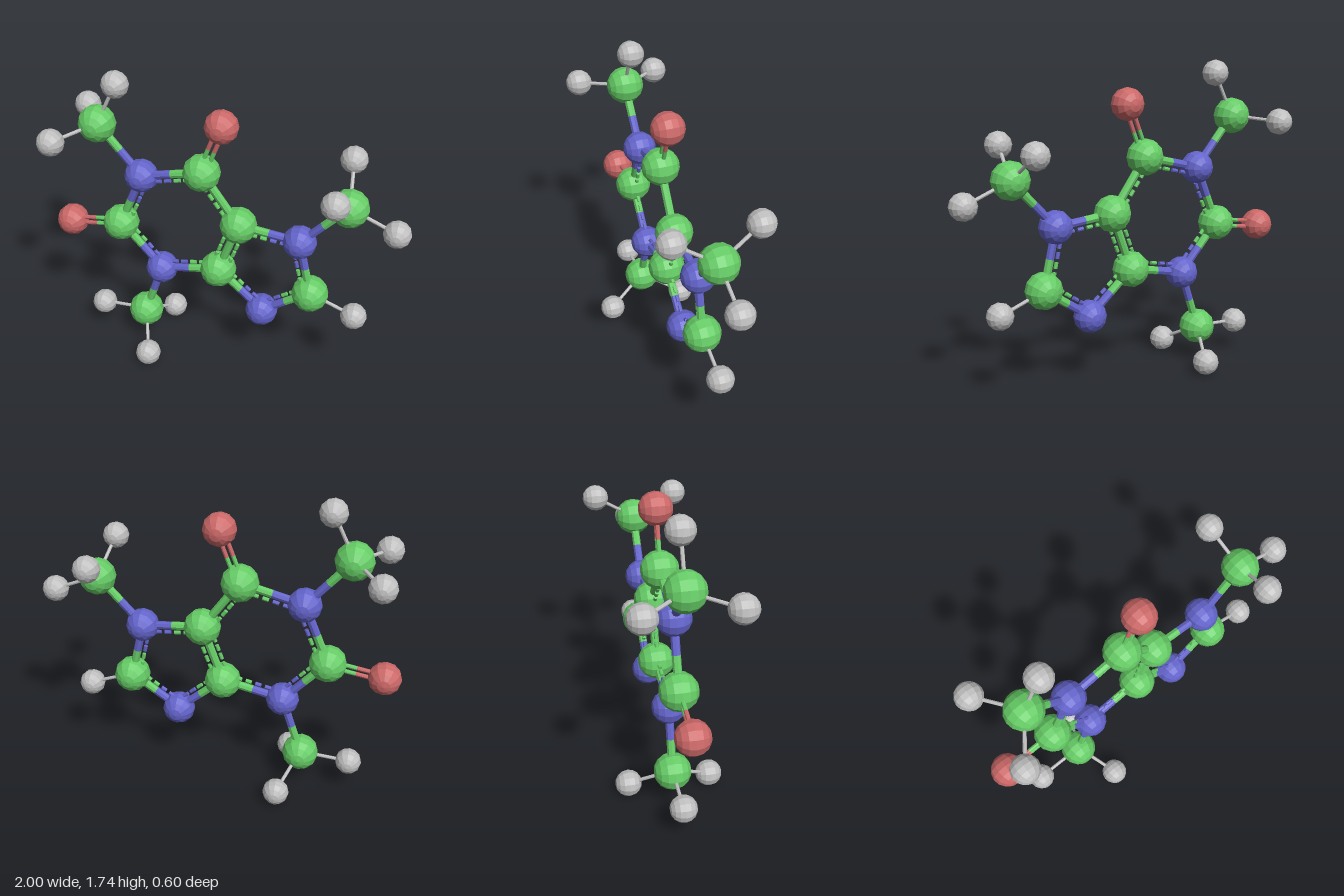
import * as THREE from 'three';

const mat = (name, color) => new THREE.MeshStandardMaterial({ name, color, flatShading: true });

export function createModel() {
  const model = new THREE.Group();
  model.name = 'molecule';

  const kinds = {
    C: { label: 'carbon', radius: 0.102, material: mat('green', 0x66cc66) },
    N: { label: 'nitrogen', radius: 0.092, material: mat('blue', 0x6464cc) },
    O: { label: 'oxygen', radius: 0.09, material: mat('red', 0xcc6868) },
    H: { label: 'hydrogen', radius: 0.073, material: mat('grey', 0xbebebe) },
  };
  // One faceted ball per element, poles facing front and back
  for (const k of Object.values(kinds)) {
    k.geometry = new THREE.SphereGeometry(k.radius, 12, 8).rotateX(Math.PI / 2);
  }

  // Atoms: element, x, y, z
  const atoms = {
    n1: ['N', -0.465, 1.15, 0], c2: ['C', -0.605, 0.815, 0], n3: ['N', -0.37, 0.55, 0],
    c4: ['C', -0.03, 0.62, 0], c5: ['C', 0.085, 0.945, 0], c6: ['C', -0.12, 1.235, 0],
    n7: ['N', 0.425, 0.912, 0], c8: ['C', 0.5, 0.58, 0], n9: ['N', 0.228, 0.392, 0],
    o2: ['O', -0.91, 0.768, 0], o6: ['O', -0.01, 1.525, 0], h8: ['H', 0.75, 0.484, 0],
    m1: ['C', -0.7, 1.427, 0], m3: ['C', -0.485, 0.205, 0], m7: ['C', 0.67, 1.18, 0],
    h1: ['H', -0.58, 1.67, 0], h1f: ['H', -0.86, 1.405, 0.225], h1b: ['H', -0.86, 1.405, -0.225],
    h3: ['H', -0.76, 0.188, 0], h3f: ['H', -0.39, 0.075, 0.225], h3b: ['H', -0.39, 0.075, -0.225],
    h7: ['H', 0.922, 1.075, 0], h7f: ['H', 0.635, 1.33, 0.225], h7b: ['H', 0.635, 1.33, -0.225],
  };
  const pos = (id) => new THREE.Vector3(...atoms[id].slice(1));
  const kind = (id) => kinds[atoms[id][0]];

  for (const id of Object.keys(atoms)) {
    const ball = new THREE.Mesh(kind(id).geometry, kind(id).material);
    ball.name = kind(id).label + 'Atom';
    ball.position.copy(pos(id));
    model.add(ball);
  }

  // A rod between two points
  const up = new THREE.Vector3(0, 1, 0);
  function rod(name, a, b, radius, material) {
    const dir = b.clone().sub(a);
    const mesh = new THREE.Mesh(new THREE.CylinderGeometry(radius, radius, dir.length(), 8), material);
    mesh.name = name;
    mesh.position.copy(a).lerp(b, 0.5);
    mesh.quaternion.setFromUnitVectors(up, dir.normalize());
    model.add(mesh);
  }

  // A bond takes each atom's colour on its own half
  function bond(name, i, j, radius, offset = new THREE.Vector3()) {
    const a = pos(i).add(offset), b = pos(j).add(offset);
    const mid = a.clone().lerp(b, 0.5);
    rod(name, a, mid, radius, kind(i).material);
    rod(name, mid, b, radius, kind(j).material);
  }

  // Short dashes running beside a bond, on the inner side of its ring
  function dashes(i, j, centre) {
    const a = pos(i), b = pos(j);
    const dir = b.clone().sub(a).normalize();
    const side = new THREE.Vector3(-dir.y, dir.x, 0);
    if (side.dot(centre.clone().sub(a)) < 0) side.negate();
    side.multiplyScalar(0.042);
    a.add(side);
    b.add(side);
    for (const t of [0.22, 0.38, 0.54, 0.70]) {
      const m = kind(t < 0.5 ? i : j).material;
      rod('ringDash', a.clone().lerp(b, t), a.clone().lerp(b, t + 0.1), 0.011, m);
    }
  }

  // Two fused rings sharing one bond
  const done = new Set();
  for (const ring of [['n1', 'c2', 'n3', 'c4', 'c5', 'c6'], ['c4', 'c5', 'n7', 'c8', 'n9']]) {
    const centre = new THREE.Vector3();
    ring.forEach((id) => centre.addScaledVector(pos(id), 1 / ring.length));
    ring.forEach((i, n) => {
      const j = ring[(n + 1) % ring.length];
      const key = [i, j].sort().join();
      if (!done.has(key)) bond('ringBond', i, j, 0.023);
      done.add(key);
      dashes(i, j, centre);
    });
  }

  // Single bonds to the side carbons
  for (const n of [1, 3, 7]) {
    bond('sideBond', 'n' + n, 'm' + n, 0.023);
    for (const s of ['', 'f', 'b']) {
      rod('hydrogenBond', pos('m' + n), pos('h' + n + s), 0.01, kinds.H.material);
    }
  }
  rod('hydrogenBond', pos('c8'), pos('h8'), 0.01, kinds.H.material);

  // Double bonds to oxygen
  for (const n of [2, 6]) {
    const d = pos('o' + n).sub(pos('c' + n)).normalize();
    for (const s of [-0.018, 0.018]) {
      bond('doubleBond', 'c' + n, 'o' + n, 0.012, new THREE.Vector3(-d.y * s, d.x * s, 0));
    }
  }
  return model;
}
